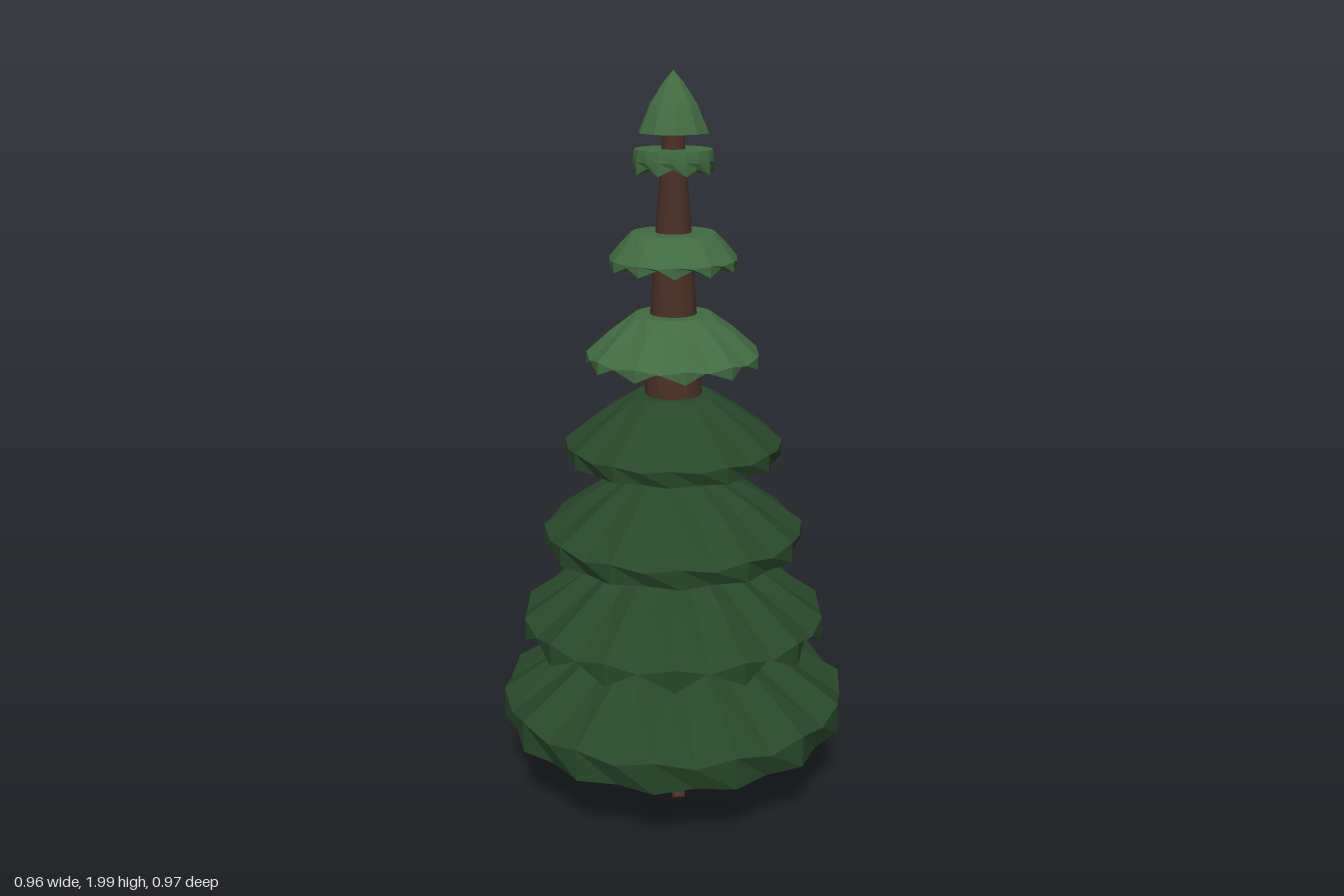
import * as THREE from 'three';

const mat = (name, color) => Object.assign(new THREE.MeshStandardMaterial({ color }), { name });

// Flat-shaded surface through rings listed from top to bottom; each ring gives [radius, y] for segment i
function loft(rings, n, phase = 0) {
  const pos = [];
  const point = (ring, i) => {
    const [r, y] = ring(i % n);
    const t = ((i + phase) / n) * Math.PI * 2;
    return [r * Math.sin(t), y, r * Math.cos(t)];
  };
  for (let k = 0; k < rings.length - 1; k++) {
    for (let i = 0; i < n; i++) {
      const a = point(rings[k], i), b = point(rings[k + 1], i);
      const c = point(rings[k + 1], i + 1), d = point(rings[k], i + 1);
      pos.push(...a, ...b, ...c, ...a, ...c, ...d);
    }
  }
  const g = new THREE.BufferGeometry();
  g.setAttribute('position', new THREE.Float32BufferAttribute(pos, 3));
  g.computeVertexNormals();
  return g;
}

// One skirt of branches: flat crown, pleated slope, toothed rim, closed underside
function tier({ top, rTop, rim, r, low, tooth = 0, teeth, fold = 0.03, phase = 0 }) {
  const odd = i => i % 2;
  const midR = (rTop + r) / 2, midY = (top + rim) / 2;
  return loft([
    () => [0, top],
    () => [rTop, top],
    i => [midR, midY + (odd(i) ? -fold : fold) * 0.3],
    i => [r * (odd(i) ? 0.985 : 1), rim - (odd(i) ? fold * 0.5 : 0)],
    i => [r * (odd(i) ? 0.94 : 1), low + (odd(i) ? tooth : 0)],
    () => [0, low + tooth],
  ], teeth * 2, phase);
}

export function createModel() {
  const tree = new THREE.Group();
  tree.name = 'pineTree';
  const darkGreen = mat('dark needles', 0x28472a);
  const lightGreen = mat('light needles', 0x426b42);
  const bark = mat('bark', 0x4a3028);
  const add = (name, geometry, material) => {
    const m = new THREE.Mesh(geometry, material);
    m.name = name;
    tree.add(m);
    return m;
  };

  // Tapering trunk with shallow bark grooves
  const trunkProfile = [
    [0, 1.86], [0.027, 1.86], [0.034, 1.76], [0.05, 1.56], [0.062, 1.38],
    [0.078, 1.15], [0.1, 0.95], [0.112, 0.5], [0.12, 0.2], [0.125, 0.1], [0.135, 0.03], [0, 0.03],
  ];
  add('trunk', loft(trunkProfile.map(([r, y]) => i => [r * (y < 1.1 && i % 3 === 0 ? 0.95 : 1), y]), 24), bark);

  // Five splayed roots
  const up = new THREE.Vector3(0, 1, 0);
  for (let i = 0; i < 5; i++) {
    const t = Math.PI + (i * Math.PI * 2) / 5;
    const at = (r, y) => new THREE.Vector3(r * Math.sin(t), y, r * Math.cos(t));
    const from = at(0.095, 0.135), to = at(0.198, 0.017);
    const dir = from.clone().sub(to);
    const g = new THREE.CylinderGeometry(0.033, 0.017, dir.length(), 7).toNonIndexed();
    g.computeVertexNormals();
    const root = add('root', g, bark);
    root.position.copy(from).add(to).multiplyScalar(0.5);
    root.quaternion.setFromUnitVectors(up, dir.normalize());
  }

  // Moss clump between two roots
  const moss = add('moss', new THREE.IcosahedronGeometry(0.04, 0), darkGreen);
  moss.scale.set(0.8, 0.45, 1);
  moss.position.set(0.14, 0.05, 0.045);

  // Branch tiers, bottom to top
  const tiers = [
    { top: 0.51, rTop: 0.11, rim: 0.29, r: 0.487, low: 0.2, teeth: 14, fold: 0.045 },
    { top: 0.73, rTop: 0.1, rim: 0.525, r: 0.425, low: 0.46, tooth: 0.04, teeth: 14, fold: 0.04, phase: 0.5 },
    { top: 0.935, rTop: 0.105, rim: 0.775, r: 0.36, low: 0.72, teeth: 12, phase: 0.3 },
    { top: 1.15, rTop: 0.108, rim: 1.02, r: 0.298, low: 0.975, teeth: 12, fold: 0.02 },
    { top: 1.37, rTop: 0.105, rim: 1.265, r: 0.235, low: 1.23, tooth: 0.028, teeth: 11, fold: 0.02, phase: 0.4 },
    { top: 1.587, rTop: 0.112, rim: 1.52, r: 0.172, low: 1.49, tooth: 0.02, teeth: 11, fold: 0.01 },
    { top: 1.802, rTop: 0.103, rim: 1.775, r: 0.108, low: 1.74, tooth: 0.018, teeth: 9, fold: 0.005, phase: 0.5 },
  ];
  tiers.forEach((t, i) => add('branchTier' + (i + 1), tier(t), i < 4 ? darkGreen : lightGreen));

  // Pointed treetop
  const tip = [[0, 2], [0.03, 1.965], [0.063, 1.915], [0.094, 1.843], [0, 1.843]];
  add('treetop', loft(tip.map(p => () => p), 10), lightGreen);

  return tree;
}
